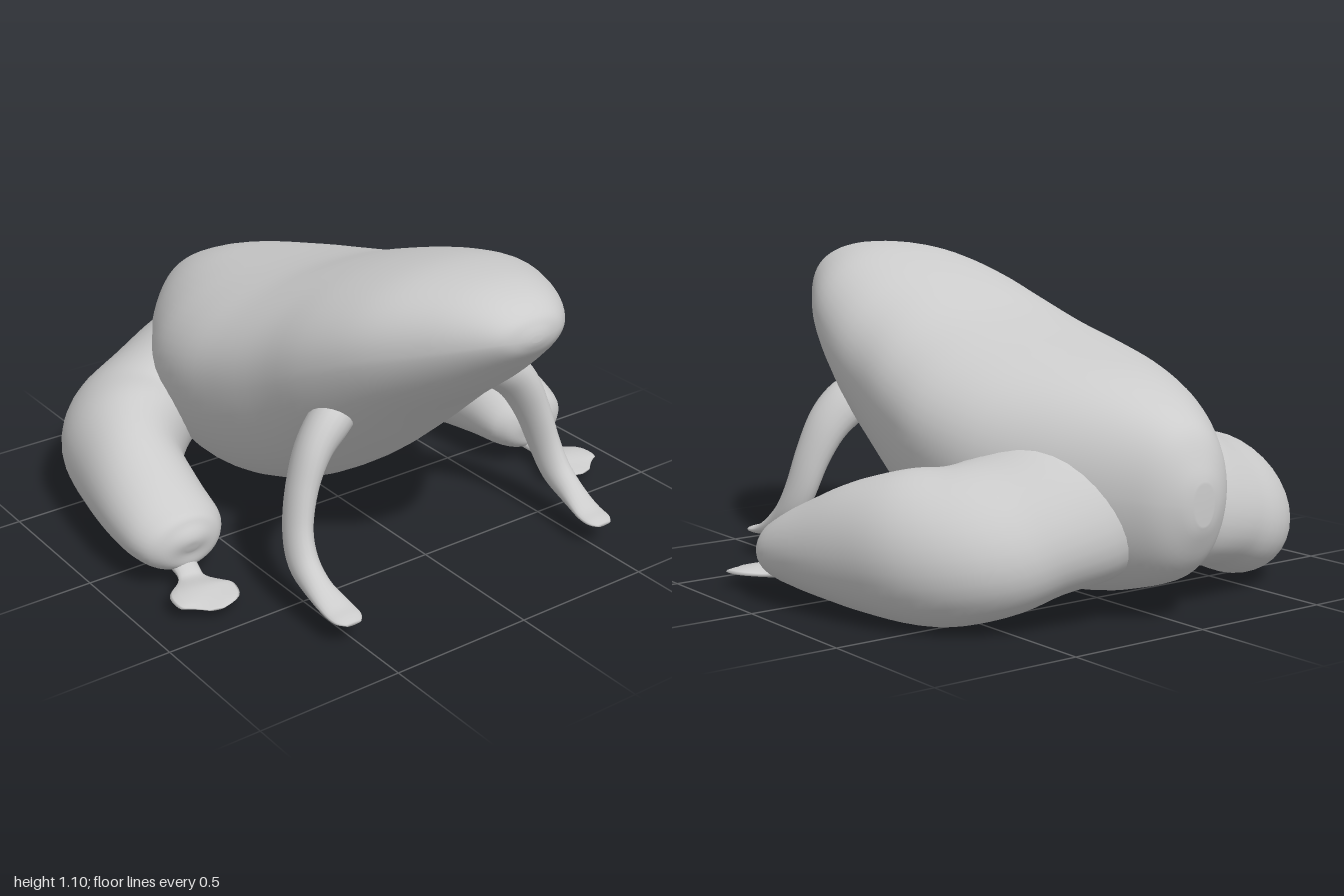
import * as THREE from 'three';

const material = new THREE.MeshStandardMaterial({ color: 0xcccccc, roughness: 0.8 });

// Smoothly resample rows of numbers (Catmull-Rom on every column)
function resample(rows, steps) {
  const out = [];
  const row = (i) => rows[Math.min(Math.max(i, 0), rows.length - 1)];
  for (let i = 0; i < rows.length - 1; i++) {
    for (let s = 0; s < steps; s++) {
      const t = s / steps;
      out.push(row(i).map((p1, k) => {
        const p0 = row(i - 1)[k], p2 = row(i + 1)[k], p3 = row(i + 2)[k];
        return 0.5 * (2 * p1 + (p2 - p0) * t + (2 * p0 - 5 * p1 + 4 * p2 - p3) * t * t
          + (3 * p1 - p0 - 3 * p2 + p3) * t * t * t);
      }));
    }
  }
  out.push(rows[rows.length - 1]);
  return out;
}

// Skin a list of closed rings, closing both ends with a centre point
function skin(name, rings) {
  const n = rings[0].length, pos = [], idx = [];
  rings.forEach((r) => r.forEach((p) => pos.push(p.x, p.y, p.z)));
  for (let i = 0; i < rings.length - 1; i++) {
    for (let j = 0; j < n; j++) {
      const a = i * n + j, b = i * n + (j + 1) % n;
      idx.push(a, b, a + n, b, b + n, a + n);
    }
  }
  [0, rings.length - 1].forEach((i) => {
    const c = new THREE.Vector3();
    rings[i].forEach((p) => c.addScaledVector(p, 1 / n));
    const centre = pos.length / 3;
    pos.push(c.x, c.y, c.z);
    for (let j = 0; j < n; j++) {
      const a = i * n + j, b = i * n + (j + 1) % n;
      if (i === 0) idx.push(centre, b, a); else idx.push(centre, a, b);
    }
  });
  const geo = new THREE.BufferGeometry();
  geo.setAttribute('position', new THREE.Float32BufferAttribute(pos, 3));
  geo.setIndex(idx);
  geo.computeVertexNormals();
  const mesh = new THREE.Mesh(geo, material);
  mesh.name = name;
  return mesh;
}

const signedPow = (v, e) => Math.sign(v) * Math.pow(Math.abs(v), e);

// Limb rows: x, y, z, half width, half thickness, forward lean of the top;
// side = 1 left, -1 right
function limb(name, rows, hint, side, n) {
  const path = resample(rows, 5);
  const at = (i) => {
    const r = path[Math.min(Math.max(i, 0), path.length - 1)];
    return new THREE.Vector3(r[0] * side, r[1], r[2]);
  };
  const rings = path.map(([, , , w, h, lean = 0], i) => {
    const t = at(i + 1).sub(at(i - 1)).normalize();
    const across = hint.clone().cross(t).normalize();
    const up = t.clone().cross(across);
    up.z += lean;
    return Array.from({ length: n }, (_, j) => {
      const a = (j / n) * Math.PI * 2;
      return at(i).addScaledVector(across, Math.cos(a) * w).addScaledVector(up, Math.sin(a) * h);
    });
  });
  return skin(name, rings);
}

// Body rows from rump to snout: z, top, widest height, bottom, half width
const bodyRows = [
  [-1.0, 0.46, 0.4, 0.33, 0.04],
  [-0.985, 0.51, 0.4, 0.285, 0.085],
  [-0.94, 0.605, 0.41, 0.2, 0.15],
  [-0.87, 0.665, 0.42, 0.14, 0.21],
  [-0.75, 0.725, 0.43, 0.095, 0.3],
  [-0.6, 0.775, 0.45, 0.06, 0.395],
  [-0.4, 0.82, 0.5, 0.045, 0.49],
  [-0.2, 0.865, 0.55, 0.055, 0.525],
  [0, 0.92, 0.61, 0.115, 0.505],
  [0.2, 0.995, 0.68, 0.235, 0.47],
  [0.4, 1.06, 0.77, 0.405, 0.445],
  [0.6, 1.105, 0.86, 0.59, 0.385],
  [0.78, 1.112, 0.92, 0.735, 0.285],
  [0.9, 1.09, 0.96, 0.845, 0.2],
  [0.97, 1.05, 0.98, 0.915, 0.125],
  [0.993, 1.015, 0.98, 0.95, 0.06],
  [1.0, 0.99, 0.98, 0.97, 0.02],
];

function makeBody() {
  const n = 56;
  return skin('body', resample(bodyRows, 4).map(([z, top, mid, bottom, w]) =>
    Array.from({ length: n }, (_, j) => {
      const a = (j / n) * Math.PI * 2, s = Math.sin(a);
      return new THREE.Vector3(
        w * signedPow(Math.cos(a), 0.88),
        mid + (s > 0 ? (top - mid) * Math.pow(s, 0.95) : (bottom - mid) * Math.pow(-s, 1.12)), z);
    })));
}

const hindLegRows = [
  [0.08, 0.42, -0.61, 0.24, 0.25, 0.3],
  [0.24, 0.365, -0.6, 0.245, 0.245, 0.35],
  [0.38, 0.315, -0.575, 0.24, 0.22, 0.35],
  [0.51, 0.27, -0.525, 0.24, 0.225, 0.33],
  [0.62, 0.245, -0.405, 0.22, 0.235, 0.25],
  [0.7, 0.225, -0.22, 0.18, 0.208, 0.1],
  [0.733, 0.195, -0.02, 0.174, 0.16, 0],
  [0.738, 0.17, 0.12, 0.165, 0.12, 0],
  [0.738, 0.162, 0.185, 0.13, 0.098, 0],
  [0.738, 0.16, 0.212, 0.075, 0.06, 0],
  [0.738, 0.158, 0.22, 0.02, 0.015, 0],
];

const hindFootRows = [
  [0.745, 0.09, 0.14, 0.05, 0.035],
  [0.752, 0.07, 0.21, 0.042, 0.022],
  [0.76, 0.06, 0.25, 0.05, 0.013],
  [0.775, 0.063, 0.325, 0.108, 0.016],
  [0.775, 0.057, 0.39, 0.1, 0.01],
  [0.785, 0.052, 0.435, 0.025, 0.004],
];

const frontLegRows = [
  [0.27, 0.63, 0.42, 0.06, 0.07],
  [0.35, 0.585, 0.435, 0.07, 0.085],
  [0.425, 0.51, 0.45, 0.06, 0.08],
  [0.48, 0.4, 0.468, 0.05, 0.07],
  [0.515, 0.28, 0.495, 0.045, 0.065],
  [0.53, 0.19, 0.545, 0.046, 0.06],
  [0.532, 0.135, 0.63, 0.046, 0.04],
  [0.525, 0.103, 0.72, 0.053, 0.02],
  [0.523, 0.095, 0.775, 0.05, 0.013],
  [0.523, 0.092, 0.805, 0.028, 0.006],
];

export function createModel() {
  const model = new THREE.Group();
  model.name = 'frog';
  model.add(makeBody());
  const up = new THREE.Vector3(0, 1, 0);
  const diagonal = new THREE.Vector3(0, 1, 1).normalize();
  for (const [label, side] of [['left', 1], ['right', -1]]) {
    model.add(
      limb(label + 'HindLeg', hindLegRows, up, side, 36),
      limb(label + 'HindFoot', hindFootRows, up, side, 16),
      limb(label + 'FrontLeg', frontLegRows, diagonal, side, 20),
    );
  }
  return model;
}
